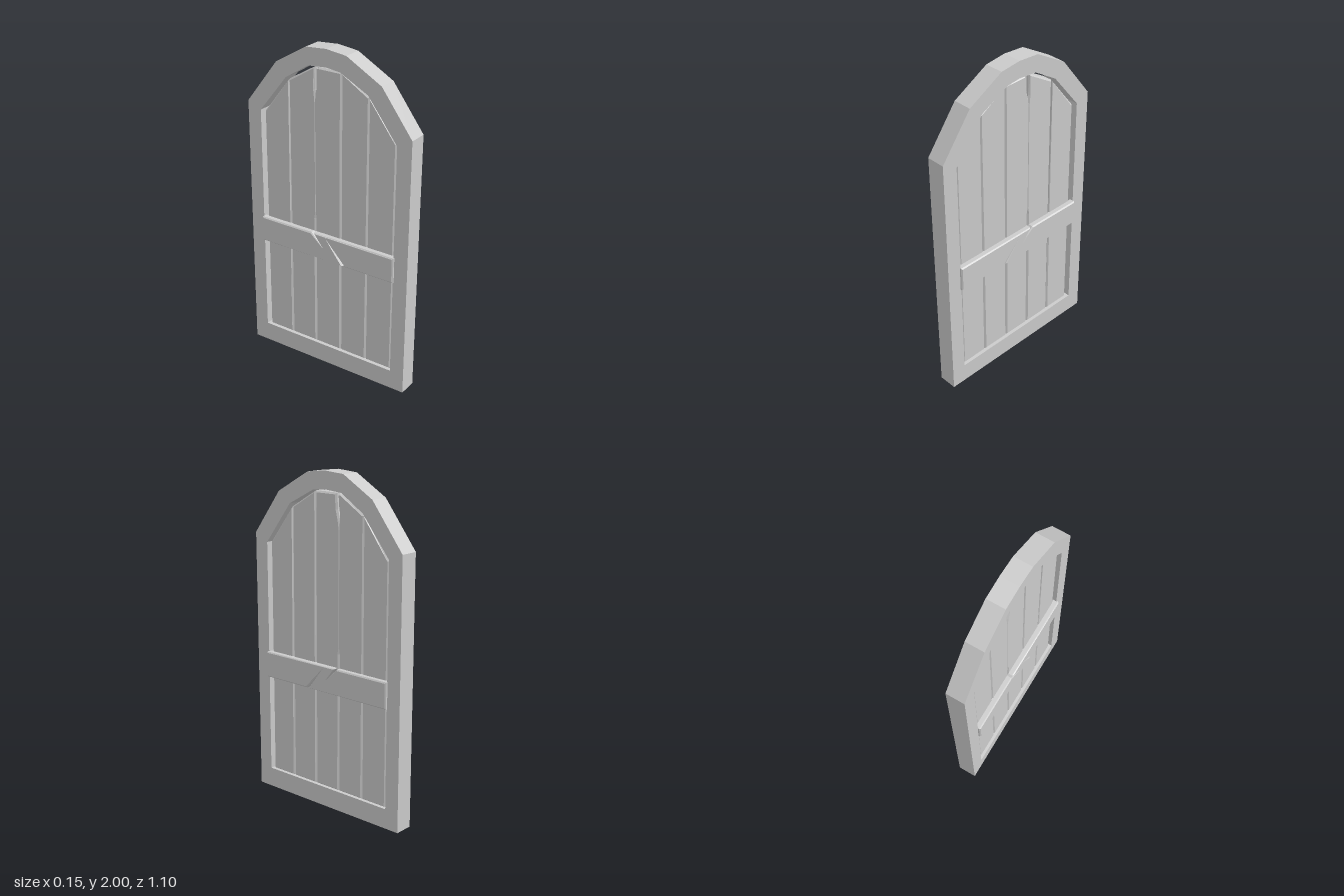
import * as THREE from 'three';

const material = new THREE.MeshStandardMaterial({ color: 0xcccccc, flatShading: true });

// Extrudes a (z, y) outline across x, centred on x = centre, with chamfered edges.
function slab(name, outline, depth, centre = 0, bevel = 0, hole = null) {
  const toPoints = (list) => list.map(([z, y]) => new THREE.Vector2(z, y));
  const shape = new THREE.Shape(toPoints(outline));
  if (hole) shape.holes.push(new THREE.Path(toPoints(hole)));
  const geometry = new THREE.ExtrudeGeometry(shape, {
    depth: depth - 2 * bevel,
    bevelEnabled: bevel > 0,
    bevelThickness: bevel,
    bevelSize: bevel,
    bevelOffset: -bevel,
    bevelSegments: 1,
  });
  geometry.translate(0, 0, bevel - depth / 2);
  geometry.rotateY(-Math.PI / 2);
  geometry.translate(centre, 0, 0);
  const mesh = new THREE.Mesh(geometry, material);
  mesh.name = name;
  return mesh;
}

export function createModel() {
  const door = new THREE.Group();
  door.name = 'archedDoor';

  // Arched frame with a faceted opening
  const outer = [
    [0.545, 0], [0.55, 1.6], [0.355, 1.86], [0.13, 1.985], [0, 2],
    [-0.135, 1.99], [-0.34, 1.87], [-0.55, 1.6], [-0.55, 0],
  ];
  const opening = [
    [0.455, 0.12], [0.458, 1.55], [0.27, 1.795], [0.09, 1.887], [0, 1.897],
    [-0.12, 1.887], [-0.275, 1.79], [-0.46, 1.56], [-0.46, 0.12],
  ];
  door.add(slab('frame', outer, 0.114, 0, 0, opening));

  // Five planks following the arch; the joint between 3 and 4 is split
  const planks = new THREE.Group();
  planks.name = 'planks';
  const edges = [0.445, 0.268, 0.088, -0.09, -0.268, -0.445];
  const tops = [1.55, 1.777, 1.882, 1.882, 1.777, 1.55];
  const bottom = 0.116;
  for (let i = 0; i < 5; i++) {
    const [a, b] = [edges[i], edges[i + 1]];
    const outline = [[a, bottom]];
    if (i === 3) outline.push([a, 0.96], [a + 0.007, 1.0], [a + 0.007, 1.68], [a, 1.75]);
    outline.push([a, tops[i]]);
    if (i === 2) {
      outline.push([-0.068, 1.882], [-0.075, 1.79], [-0.09, 1.73], [-0.097, 1.68], [-0.097, 1.0], [-0.09, 0.96]);
    } else {
      outline.push([b, tops[i + 1]]);
    }
    outline.push([b, bottom]);
    planks.add(slab('plank', outline, 0.08, 0, 0.01));
  }
  // Solid wood at the bottom of the split
  planks.add(slab('splitCore', [[-0.06, 1.7], [-0.06, 1.865], [-0.1, 1.865], [-0.1, 1.7]], 0.04));
  door.add(planks);

  // Cracked cross bar on both faces
  const bar = [
    [0.462, 0.722], [0.462, 0.88], [-0.085, 0.88], [-0.02, 0.803], [-0.1, 0.88],
    [-0.462, 0.88], [-0.462, 0.722], [0.12, 0.722], [0.005, 0.865], [0.135, 0.722],
  ];
  for (const side of [-1, 1]) door.add(slab('crossBar', bar, 0.044, side * 0.051, 0.007));

  return door;
}
